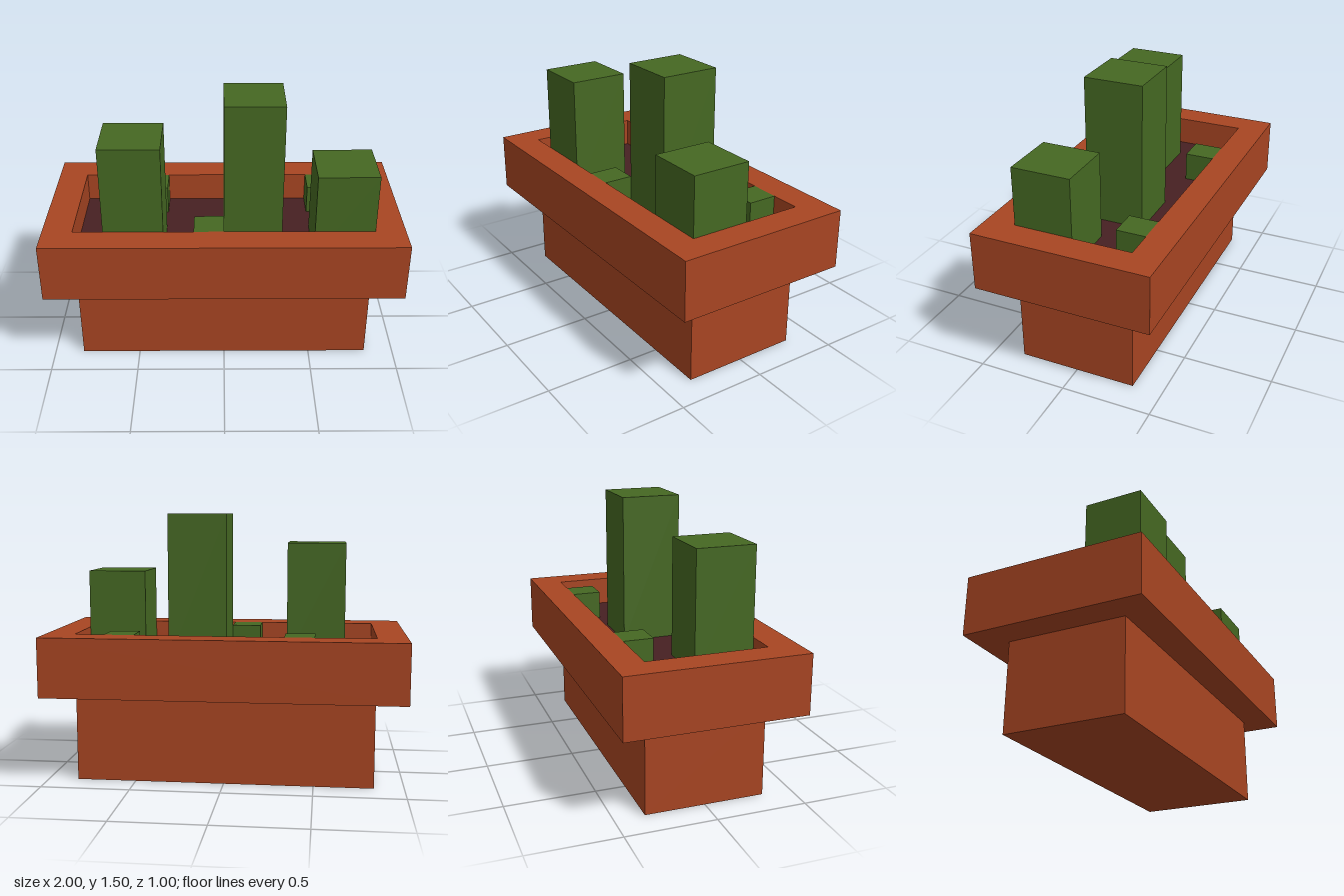
import * as THREE from 'three';

const U = 1 / 6; // block unit

const material = (name, color) => {
  const m = new THREE.MeshStandardMaterial({ color });
  m.name = name;
  return m;
};

// Box given by its unit-grid bounds
function block(name, mat, [x0, x1], [y0, y1], [z0, z1]) {
  const geo = new THREE.BoxGeometry((x1 - x0) * U, (y1 - y0) * U, (z1 - z0) * U);
  const mesh = new THREE.Mesh(geo, mat);
  mesh.name = name;
  mesh.position.set((x0 + x1) * U / 2, (y0 + y1) * U / 2, (z0 + z1) * U / 2);
  return mesh;
}

// Rectangle outline centred on the origin
function rectangle(path, halfW, halfD) {
  const w = halfW * U, d = halfD * U;
  path.moveTo(-w, -d).lineTo(w, -d).lineTo(w, d).lineTo(-w, d).closePath();
  return path;
}

export function createModel() {
  const terracotta = material('terracotta', 0xa84522);
  const soilBrown = material('soilBrown', 0x472022);
  const plantGreen = material('plantGreen', 0x456822);

  const model = new THREE.Group();
  model.name = 'planter';

  // Pot body
  model.add(block('potBase', terracotta, [-5, 5], [0, 3], [-2, 2]));

  // Overhanging rim, open in the middle
  const shape = rectangle(new THREE.Shape(), 6, 3);
  shape.holes.push(rectangle(new THREE.Path(), 5, 2));
  const rimGeo = new THREE.ExtrudeGeometry(shape, { depth: 2 * U, bevelEnabled: false });
  rimGeo.rotateX(-Math.PI / 2);
  const rim = new THREE.Mesh(rimGeo, terracotta);
  rim.name = 'potRim';
  rim.position.y = 3 * U;
  model.add(rim);

  // Soil, sunk one unit below the rim
  model.add(block('soil', soilBrown, [-5, 5], [3, 4], [-2, 2]));

  // Plants standing on the soil: x, z, width, top
  const plants = new THREE.Group();
  plants.name = 'plants';
  [
    [-4, 0, 2, 8],
    [0, -1, 2, 9],
    [3, 0, 2, 7],
    [-3, -2, 1, 5],
    [3, -2, 1, 5],
    [-1, 1, 1, 5],
  ].forEach(([x, z, w, top]) => {
    const name = w > 1 ? 'tallPlant' : 'sprout';
    plants.add(block(name, plantGreen, [x, x + w], [4, top], [z, z + w]));
  });
  model.add(plants);

  return model;
}
